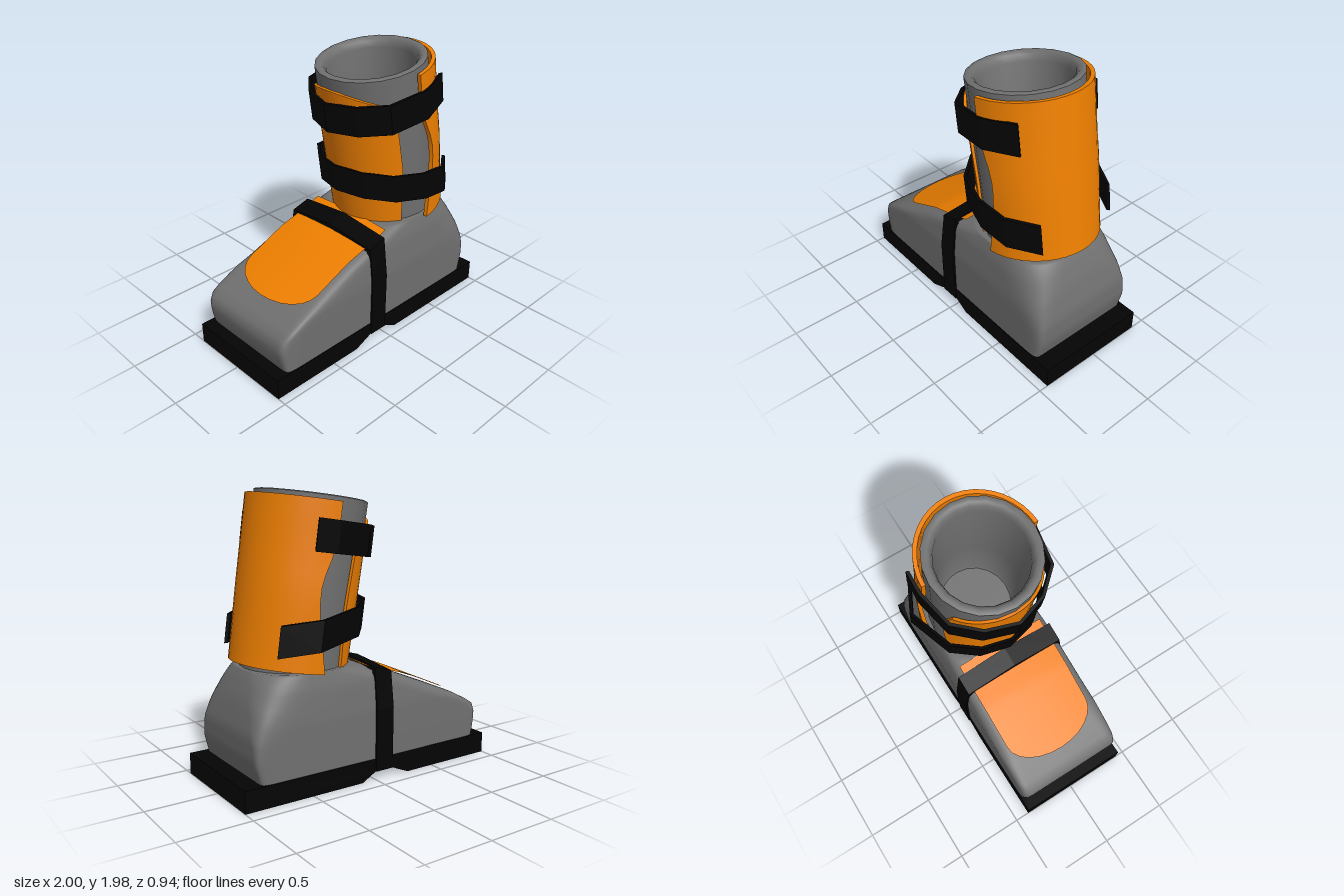
import * as THREE from 'three';
import { mergeVertices, toCreasedNormals } from 'three/addons/utils/BufferGeometryUtils.js';

const grey = new THREE.MeshStandardMaterial({ color: 0x707070, side: THREE.DoubleSide });
const orange = new THREE.MeshStandardMaterial({ color: 0xee7f00, side: THREE.DoubleSide });
const black = new THREE.MeshStandardMaterial({ color: 0x040404 });
const MID_Z = 0.02;

// Piecewise-linear lookup in a list of [key, value] pairs
function lookup(table, k) {
  if (k <= table[0][0]) return table[0][1];
  for (let i = 1; i < table.length; i++) {
    const [k0, v0] = table[i - 1], [k1, v1] = table[i];
    if (k <= k1) return v0 + (v1 - v0) * (k - k0) / (k1 - k0);
  }
  return table[table.length - 1][1];
}

// Surface through rows of points; front faces lie on the (row x column) side
function loft(rows) {
  const n = rows[0].length, index = [];
  for (let i = 0; i < rows.length - 1; i++)
    for (let j = 0; j < n - 1; j++) {
      const a = i * n + j;
      index.push(a, a + n, a + 1, a + 1, a + n, a + n + 1);
    }
  const g = new THREE.BufferGeometry();
  g.setAttribute('position', new THREE.Float32BufferAttribute(rows.flat(2), 3));
  g.setIndex(index);
  return g;
}

function smooth(g) {
  const m = mergeVertices(g, 1e-4);
  m.computeVertexNormals();
  return m;
}

function add(parent, name, geometry, material) {
  const m = new THREE.Mesh(geometry, material);
  m.name = name;
  parent.add(m);
  return m;
}

const polygon = pts => new THREE.Shape(pts.map(p => new THREE.Vector2(p[0], p[1])));

// Curved plate with thickness: an arc of angle +-half(y) around "facing"
function plate(facing, half, radius, squash, top, thick) {
  const H = 12, A = 20, rows = [];
  const heights = Array.from({ length: H + 1 }, (_, i) => i / H);
  const path = [...heights.map(h => [h, 0]), ...heights.reverse().map(h => [h, thick])];
  path.push(path[0]);
  for (const [h, inset] of path) {
    const row = [];
    for (let j = -1; j <= A + 1; j++) {
      const s = THREE.MathUtils.clamp(j / A, 0, 1) * 2 - 1;
      const t = j < 0 || j > A ? thick : inset;   // outer columns close the side edges
      const y = h * top(s), a = facing + s * half(y);
      const r = radius(y) - t;
      row.push([r * Math.cos(a), y, r * squash(y) * Math.sin(a)]);
    }
    rows.push(row);
  }
  return toCreasedNormals(loft(rows), 0.7);
}

// Stiff band following a plan polyline, with a slope along x
function band(points, y0, height, slope) {
  const inner = points.map(([x, z]) => [x * 0.95, z * 0.95]).reverse();
  const g = new THREE.ExtrudeGeometry(polygon([...points, ...inner]), { depth: height, bevelEnabled: false });
  g.rotateX(Math.PI / 2).translate(0, y0 + height, 0);
  const p = g.attributes.position;
  for (let i = 0; i < p.count; i++) p.setY(i, p.getY(i) + slope * (p.getX(i) + 0.45));
  g.computeVertexNormals();
  return g;
}

export function createModel() {
  const boot = new THREE.Group();
  boot.name = 'boot';

  // Sole with an arch notch underneath
  const sole = new THREE.ExtrudeGeometry(polygon([
    [-1, 0], [-0.28, 0], [-0.14, 0.06], [0, 0.06], [0.11, 0], [1, 0], [1, 0.15], [-1, 0.15],
  ]), { depth: 0.83, bevelEnabled: false });
  add(boot, 'sole', sole.translate(0, 0, MID_Z - 0.415), black);

  // Foot shell: stacked rings, square at the sole and rounder toward the ankle
  const toe = [[0.15, -0.91], [0.25, -0.935], [0.33, -0.94], [0.39, -0.92], [0.43, -0.86], [0.5, -0.73],
    [0.6, -0.5], [0.69, -0.28], [0.745, -0.12], [0.78, -0.02], [0.81, 0.05]];
  const heel = [[0.15, 0.875], [0.28, 0.908], [0.44, 0.908], [0.63, 0.86], [0.75, 0.81], [0.81, 0.78]];
  const width = [[0.15, 0.41], [0.5, 0.413], [0.7, 0.395], [0.81, 0.37]];
  const toePower = [[0.15, 28], [0.43, 20], [0.55, 10], [0.7, 7], [0.81, 3.2]];
  const heelPower = [[0.15, 28], [0.36, 22], [0.46, 12], [0.63, 5.5], [0.81, 2.6]];
  const levels = [0.15, 0.22, 0.28, 0.33, 0.39, 0.43, 0.47, 0.5, 0.55, 0.6, 0.65, 0.69, 0.72, 0.745, 0.765, 0.78, 0.797, 0.81];
  const rings = levels.map(y => {
    const a = lookup(toe, y), b = lookup(heel, y), w = lookup(width, y);
    return Array.from({ length: 49 }, (_, j) => {
      const t = (j % 48) / 48 * Math.PI * 2, c = Math.cos(t), s = Math.sin(t);
      const e = 2 / lookup(c < 0 ? toePower : heelPower, y);
      const bend = v => (Math.abs(v) < 1e-9 ? 0 : Math.sign(v) * Math.abs(v) ** e);
      return [(a + b) / 2 + (b - a) / 2 * bend(c), y, MID_Z + w * bend(s)];
    });
  });
  rings.push(rings[0].map(() => [0.41, 0.815, MID_Z]));
  add(boot, 'footShell', smooth(loft(rings)), grey);

  // Instep pad with a rounded toe end
  const crest = [[-0.78, 0.503], [-0.5, 0.625], [-0.3, 0.712], [-0.14, 0.757], [0, 0.80], [0.08, 0.83]];
  const padRows = [];
  for (let i = 0; i <= 16; i++) {
    const row = [];
    for (let j = 0; j <= 12; j++) {
      const s = Math.sin((j / 6 - 1) * Math.PI / 2);
      const front = -0.58 - 0.2 * Math.sqrt(Math.max(0, 1 - s * s));
      const x = front + (0.06 - front) * i / 16;
      row.push([x, lookup(crest, x) - 0.015 * s * s, MID_Z + 0.345 * s]);
    }
    padRows.push(row);
  }
  const pad = loft(padRows);
  pad.index.array.reverse();
  add(boot, 'instepPad', smooth(pad), orange);

  // Strap over the instep
  const over = (pts, rev) => {
    const all = [...pts, ...pts.slice(0, -1).reverse().map(([z, y]) => [-z, y])];
    return rev ? all.reverse() : all;
  };
  const strap = new THREE.ExtrudeGeometry(polygon([
    ...over([[0.422, 0.06], [0.426, 0.5], [0.392, 0.77], [0, 0.81]]),
    ...over([[0.4, 0.06], [0.4, 0.5], [0.365, 0.745], [0, 0.78]], true),
  ]), { depth: 0.14, bevelEnabled: false });
  strap.rotateY(Math.PI / 2).translate(-0.14, 0, MID_Z);
  const sp = strap.attributes.position;
  for (let i = 0; i < sp.count; i++)
    if (sp.getY(i) > 0.6) sp.setY(i, sp.getY(i) + 0.28 * (sp.getX(i) + 0.07));
  strap.computeVertexNormals();
  add(boot, 'instepStrap', strap, black);

  // Leg assembly leans toward the toe
  const leg = new THREE.Group();
  leg.name = 'leg';
  leg.position.set(0.405, 0.8, MID_Z);
  leg.rotation.z = THREE.MathUtils.degToRad(8);
  boot.add(leg);

  // Hollow liner with a rolled rim and an inner floor
  const liner = new THREE.LatheGeometry([
    [0.362, -0.04], [0.366, 0.2], [0.386, 1.09], [0.387, 1.128], [0.372, 1.135], [0.345, 1.133], [0.325, 1.115],
    [0.312, 1.07], [0.29, 0.5], [0.275, 0.12], [0.265, 0.1], [0, 0.1],
  ].map(p => new THREE.Vector2(p[0], p[1])), 20);
  add(leg, 'liner', toCreasedNormals(liner, 0.8), grey).scale.z = 0.97;

  // Back cuff: side edges curve back at mid height while the width stays constant
  const rad = THREE.MathUtils.degToRad;
  const cuffEdge = [[0, 89], [0.3, 80], [0.4, 77], [0.52, 76], [0.61, 77.5], [0.75, 84], [0.88, 87], [1.1, 87.5]];
  const cuffHalf = y => rad(lookup(cuffEdge, y));
  add(leg, 'backCuff', plate(0, cuffHalf, () => 0.443, y => 0.94 / Math.sin(cuffHalf(y)), () => 1.1, 0.03), orange);

  // Front tongue, its top dropping toward the sides
  const tongueEdge = [[0, 63], [0.42, 69], [0.78, 66], [0.95, 58], [1.05, 50]];
  add(leg, 'frontTongue', plate(Math.PI, y => rad(lookup(tongueEdge, y)), y => 0.373 + 0.026 * y, () => 1,
    s => 1.045 - 0.11 * s * s, 0.02), orange);

  // Leg straps
  add(leg, 'upperStrap', band([
    [0.317, 0.345], [0.06, 0.433], [-0.24, 0.385], [-0.39, 0.22], [-0.462, 0],
    [-0.39, -0.22], [-0.24, -0.385], [0.03, -0.44], [0.19, -0.432],
  ], 0.772, 0.21, 0), black);
  add(leg, 'lowerStrap', band([
    [0.385, 0.285], [0.2, 0.43], [-0.02, 0.45], [-0.25, 0.38], [-0.39, 0.21], [-0.445, 0],
    [-0.39, -0.21], [-0.25, -0.38], [0.1, -0.485], [0.34, -0.365],
  ], 0.305, 0.205, -0.275), black);

  return boot;
}
